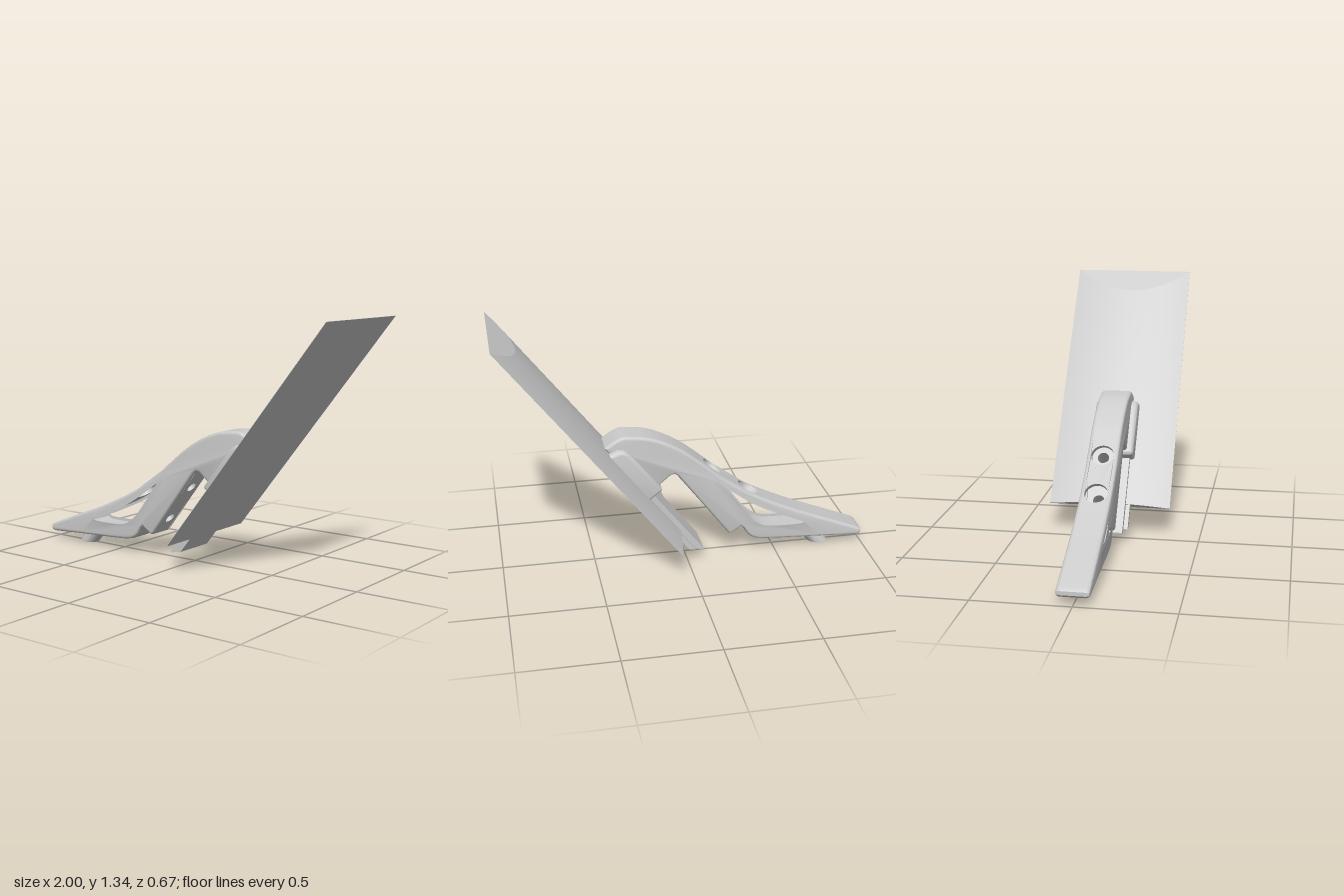
import * as THREE from 'three';
import { toCreasedNormals } from 'three/addons/utils/BufferGeometryUtils.js';

const grey = new THREE.MeshStandardMaterial({ color: 0xcccccc });
// Working frame: u runs up the plate, n is square to it, z is the width
const ANGLE = Math.atan2(0.787, 0.617), OX = 0.07, OY = 0.155;
const C = Math.cos(ANGLE), S = Math.sin(ANGLE);
const V = (u, n) => new THREE.Vector2(u, n);
const local = pts => pts.map(([x, y]) =>
  V(C * (x - OX) + S * (y - OY), -S * (x - OX) + C * (y - OY)));
const smooth = (pts, n) => new THREE.SplineCurve(local(pts)).getPoints(n);

// Handle side profile
const topLine = smooth([[-1, 0.075], [-0.97, 0.092], [-0.8, 0.16], [-0.6, 0.24], [-0.4, 0.335],
  [-0.3, 0.395], [-0.2, 0.465], [-0.1, 0.55], [0, 0.63], [0.1, 0.69], [0.2, 0.73],
  [0.3, 0.745], [0.36, 0.74], [0.44, 0.69]], 78);
const rearLine = local([[0.19, 0.38], [0.195, 0.4], [0.18, 0.425], [0.085, 0.505], [0.065, 0.51], [0.05, 0.5]]);
const bottomLine = local([[-0.228, 0.135], [-0.237, 0.125], [-0.25, 0.123], [-0.305, 0.16], [-0.318, 0.15],
  [-0.335, 0.12], [-0.355, 0.097], [-0.385, 0.08], [-0.43, 0.071], [-0.5, 0.066], [-0.75, 0.054],
  [-0.97, 0.041], [-0.99, 0.044], [-1, 0.055]]);
const slotTop = smooth([[-0.68, 0.17], [-0.6, 0.2], [-0.4, 0.295], [-0.2, 0.435], [-0.165, 0.465]], 32);
const slotBottom = smooth([[-0.156, 0.455], [-0.165, 0.44], [-0.3, 0.253], [-0.365, 0.182], [-0.41, 0.152],
  [-0.475, 0.135], [-0.64, 0.133], [-0.675, 0.147]], 32);

// Height of a polyline at u, and the piece of it inside a range of u
function at(line, u) {
  for (let i = 1; i < line.length; i++) {
    const a = line[i - 1], b = line[i];
    if ((a.x - u) * (b.x - u) <= 0 && a.x !== b.x) return a.y + (b.y - a.y) * (u - a.x) / (b.x - a.x);
  }
  return line[line.length - 1].y;
}
const inside = (line, u0, u1) => line.filter(p => p.x > u0 + 1e-4 && p.x < u1 - 1e-4);

function mesh(name, geo, crease = 0.6) {
  const m = new THREE.Mesh(toCreasedNormals(geo, crease), grey);
  m.name = name;
  return m;
}

function reshape(geo, rule) {
  const p = geo.attributes.position, v = new THREE.Vector3();
  for (let i = 0; i < p.count; i++) {
    v.fromBufferAttribute(p, i);
    rule(v);
    p.setXYZ(i, v.x, v.y, v.z);
  }
  return geo;
}

// Side profile extruded evenly about z = 0
function extrude(pts, width, bevel = 0, holes = []) {
  const shape = new THREE.Shape(pts);
  holes.forEach(h => shape.holes.push(new THREE.Path(h)));
  const depth = width - 2 * bevel;
  const geo = new THREE.ExtrudeGeometry(shape, { depth, bevelEnabled: bevel > 0, bevelThickness: bevel,
    bevelSize: bevel * 0.75, bevelOffset: -bevel * 0.75, bevelSegments: 4 });
  return geo.translate(0, 0, -depth / 2);
}

// Layer between two heights over u, drilled along n
function drilledLayer(u0, u1, low, high, half, radius, centres) {
  const us = Array.from({ length: 41 }, (_, i) => u0 + (u1 - u0) * i / 40);
  const shape = new THREE.Shape([...us.map(u => V(u, -half)), ...us.map(u => V(u, half)).reverse()]);
  centres.forEach(c => shape.holes.push(new THREE.Path().absarc(c, 0, radius, 0, Math.PI * 2, true)));
  const geo = new THREE.ExtrudeGeometry(shape, { depth: 1, bevelEnabled: false, curveSegments: 32 });
  return reshape(geo, v => v.set(v.x, v.z > 0.5 ? high(v.x) : low(v.x), -v.y));
}

function makeHandle() {
  const g = new THREE.Group();
  g.name = 'handle';
  const half = 0.0625, a = -0.2, b = 0.24, floor = 0.355, notch = 0.226;
  const screws = [-0.104, 0.137];

  // Rounded outer cheeks, flat on their inner side
  const outline = [...topLine, ...rearLine, ...bottomLine];
  for (const s of [1, -1]) {
    const geo = extrude(outline, 0.045, 0.02, [[...slotTop, ...slotBottom]]).translate(0, 0, s * 0.06);
    g.add(mesh('handleCheek', reshape(geo, v => { v.z = s * Math.max(s * v.z, 0.062); })));
  }
  // Solid core in front of and behind the drilled middle
  const front = [...inside(topLine, -2, a), V(a, at(topLine, a)), V(a, at(slotTop, a)),
    ...inside(slotTop, -2, a).reverse(), ...inside(slotBottom, -2, a).reverse(),
    V(a, at(slotBottom, a)), V(a, notch), ...bottomLine.slice(1)];
  const rear = [V(b, at(topLine, b)), ...inside(topLine, b, 2), topLine[topLine.length - 1],
    ...rearLine, V(b, notch)];
  g.add(mesh('handleToe', extrude(front, half * 2)));
  g.add(mesh('handleHead', extrude(rear, half * 2)));
  // Strap with wide access holes, and the bar below it with screw holes
  g.add(mesh('strap', drilledLayer(a, b, u => (u < 0.1 ? at(slotTop, u) : floor),
    u => at(topLine, u), half, 0.06, screws)));
  g.add(mesh('screwBar', drilledLayer(a, b, () => notch, () => floor, half, 0.03, screws)));
  return g;
}

// Plate: flat underside, domed top, sloping facet at the far end
function makePlate() {
  const length = 1.508, w = 0.333, rise = 0.043;
  const geo = new THREE.BoxGeometry(1, 1, 2, 10, 1, 32);
  reshape(geo, v => {
    const t = v.x + 0.5, hip = 1.347 + (length - 1.347) * v.z * v.z;
    const u = t <= 0.8 ? hip * t / 0.8 : hip + (length - hip) * (t - 0.8) / 0.2;
    const dome = rise * (1 - v.z * v.z);
    const ramp = rise * (length - u) / (length - 1.347);
    v.set(u, v.y > 0 ? Math.min(dome, ramp) + 0.002 : 0, v.z * w);
  });
  return mesh('plate', geo, 0.2);
}

export function createModel() {
  const model = new THREE.Group();
  const tilted = new THREE.Group();
  tilted.name = 'tiltedAssembly';
  tilted.rotation.z = ANGLE;
  tilted.position.set(OX, OY, 0);
  model.add(tilted);

  tilted.add(makeHandle(), makePlate());

  // Pad gripping both sides of the handle head
  const pad = [V(0.262, 0.02), V(0.615, 0.02), V(0.612, 0.05), V(0.6, 0.09), V(0.58, 0.112),
    V(0.55, 0.124), V(0.275, 0.126), V(0.262, 0.115)];
  tilted.add(mesh('pad', extrude(pad, 0.236, 0.026)));

  // Tongue below the plate with its wider flange
  const tongue = [V(-0.175, 0.067), V(-0.181, 0.06), V(-0.12, 0.014), V(0.27, 0.014), V(0.27, 0.067)];
  tilted.add(mesh('tongue', extrude(tongue, 0.19)));
  const flange = [V(-0.142, 0.034), V(-0.116, 0.009), V(0.004, 0.009), V(0.004, 0.034)];
  tilted.add(mesh('flange', extrude(flange, 0.236)));

  // Slanted foot under the toe
  const foot = mesh('foot', reshape(new THREE.CylinderGeometry(0.055, 0.055, 0.06, 40),
    v => { v.x += (v.y + 0.03) * 0.85; v.z *= 0.94; }));
  foot.position.set(-0.765, 0.03, 0);
  model.add(foot);
  return model;
}
